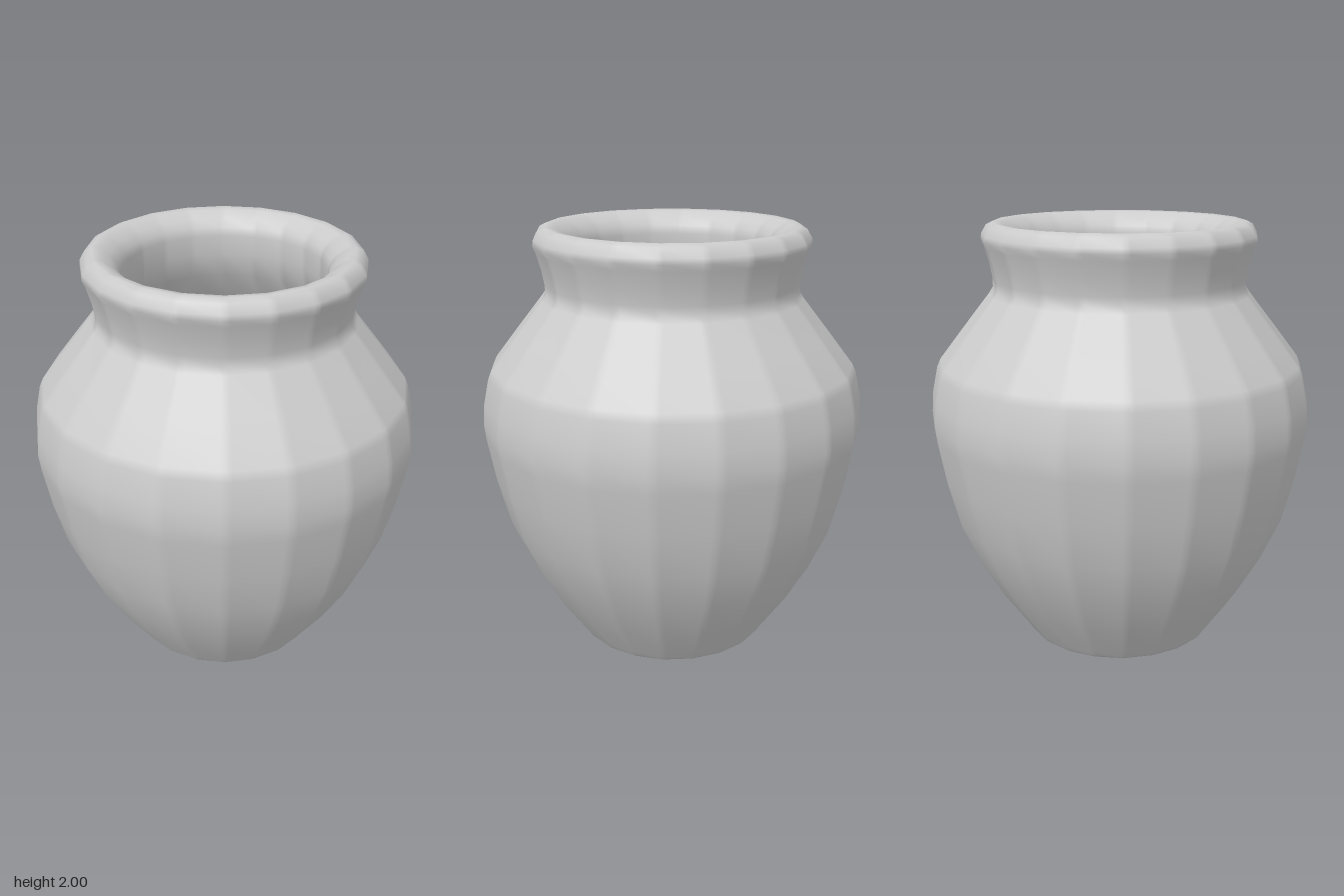
import * as THREE from 'three';
import { mergeVertices } from 'three/addons/utils/BufferGeometryUtils.js';

const SIDES = 20; // flat facets around the jar
const SOFT = 0.03; // half-angle of the softened facet corners

// Half section: from the base centre, up the outside, over the lip, down the inside
const profile = [
  [0, 0], [0.42, 0], [0.445, 0], [0.457, 0.012], [0.475, 0.04],
  [0.595, 0.21], [0.705, 0.4], [0.795, 0.6], [0.853, 0.82], [0.89, 1.02],
  [0.9, 1.1], [0.893, 1.2], [0.868, 1.32], [0.85, 1.36],
  [0.735, 1.51], [0.61, 1.67], [0.592, 1.7], [0.592, 1.74], [0.605, 1.81],
  [0.628, 1.89], [0.641, 1.92], [0.638, 1.945], [0.615, 1.985], [0.585, 2],
  [0.55, 1.995], [0.505, 1.965], [0.475, 1.93], [0.465, 1.89],
  [0.468, 1.8], [0.49, 1.68], [0.62, 1.49], [0.74, 1.33],
  [0.785, 1.1], [0.745, 0.82], [0.685, 0.6], [0.595, 0.4], [0.48, 0.21],
  [0.39, 0.1], [0.365, 0.08], [0.33, 0.075], [0, 0.075],
];

// Lathe whose circular rings become polygons with slightly softened corners
function facetedLathe(points) {
  const rows = points.length;
  const step = (Math.PI * 2) / SIDES;
  const geo = new THREE.LatheGeometry(points.map(([r, y]) => new THREE.Vector2(r, y)), SIDES * 3);
  const pos = geo.attributes.position;
  for (let i = 0; i < pos.count; i++) {
    const column = Math.floor(i / rows);
    const [r, y] = points[i % rows];
    const corner = Math.floor((column + 1) / 3) * step;
    const offset = (((column + 1) % 3) - 1) * SOFT;
    const angle = corner + offset;
    const chord = r * Math.cos(step / 2) / Math.cos(step / 2 - Math.abs(offset));
    pos.setXYZ(i, chord * Math.sin(angle), y, chord * Math.cos(angle));
  }
  geo.deleteAttribute('uv');
  geo.deleteAttribute('normal');
  const merged = mergeVertices(geo, 1e-4);
  merged.computeVertexNormals();
  return merged;
}

export function createModel() {
  const group = new THREE.Group();
  group.name = 'jar';
  const clay = new THREE.MeshStandardMaterial({ color: 0xcccccc });
  const body = new THREE.Mesh(facetedLathe(profile), clay);
  body.name = 'jarBody';
  group.add(body);
  return group;
}
